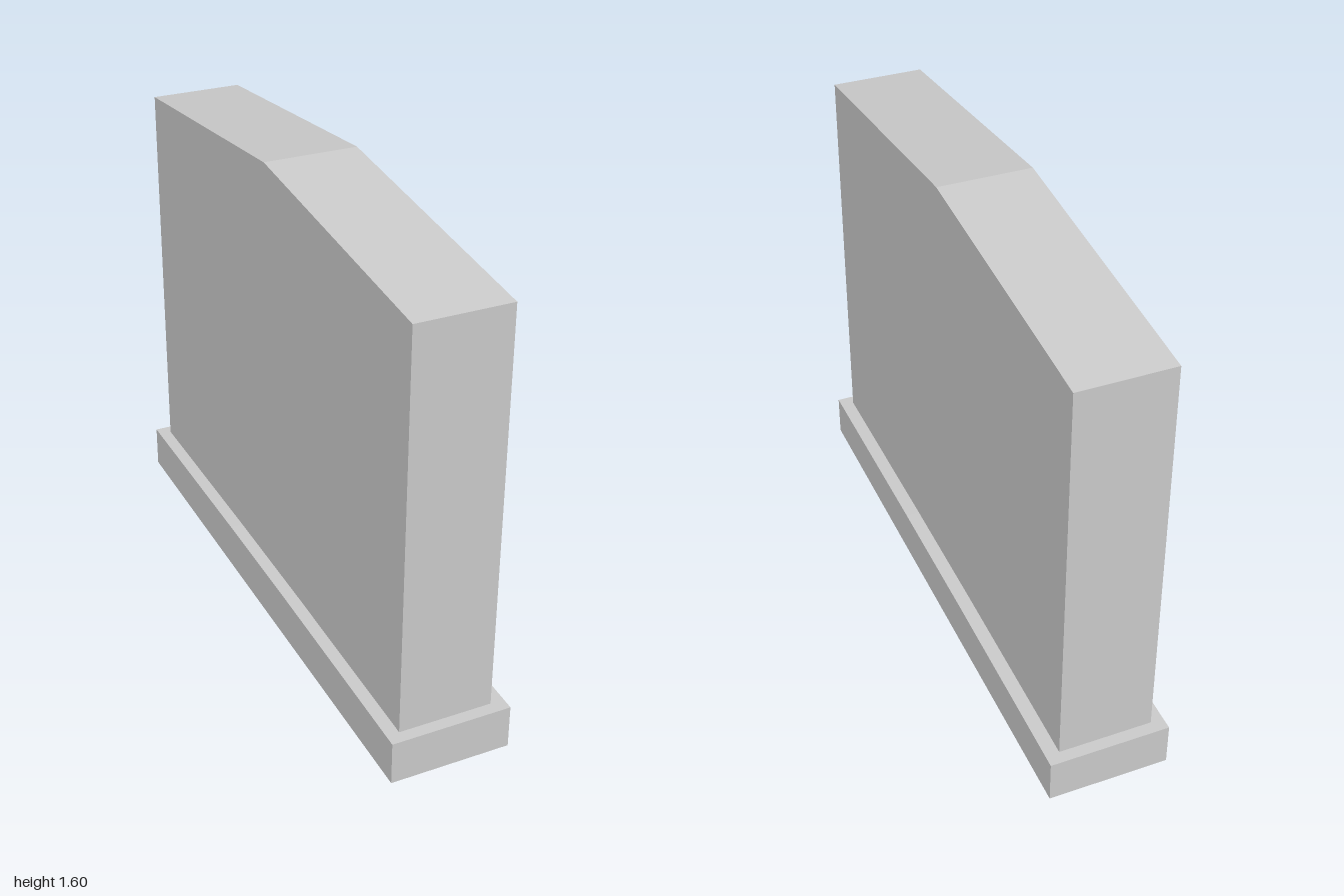
import * as THREE from 'three';

const material = new THREE.MeshStandardMaterial({ color: 0xcccccc, flatShading: true });

// Solid from a half outline of [z, y] points, mirrored in z and extruded across x
function slab(name, half, x0, x1) {
  const mirrored = half.filter(([z]) => z > 0).map(([z, y]) => [-z, y]).reverse();
  const shape = new THREE.Shape([...half, ...mirrored].map(([z, y]) => new THREE.Vector2(z, y)));
  const geometry = new THREE.ExtrudeGeometry(shape, { depth: x1 - x0, bevelEnabled: false });
  geometry.rotateY(-Math.PI / 2);
  geometry.translate(x1, 0, 0);
  const mesh = new THREE.Mesh(geometry, material);
  mesh.name = name;
  return mesh;
}

export function createModel() {
  const group = new THREE.Group();
  group.name = 'gabledWallSlab';

  // Low plinth whose top rises very slightly toward the middle
  group.add(slab('plinth', [[1, 0], [1, 0.148], [0.78, 0.151], [0.24, 0.157]], -0.2, 0.2));

  // Tall wall with a shallow gabled top, set into the plinth
  group.add(slab('wall', [[0.96, 0.1], [0.96, 1.5], [0, 1.6]], -0.157, 0.154));

  return group;
}
